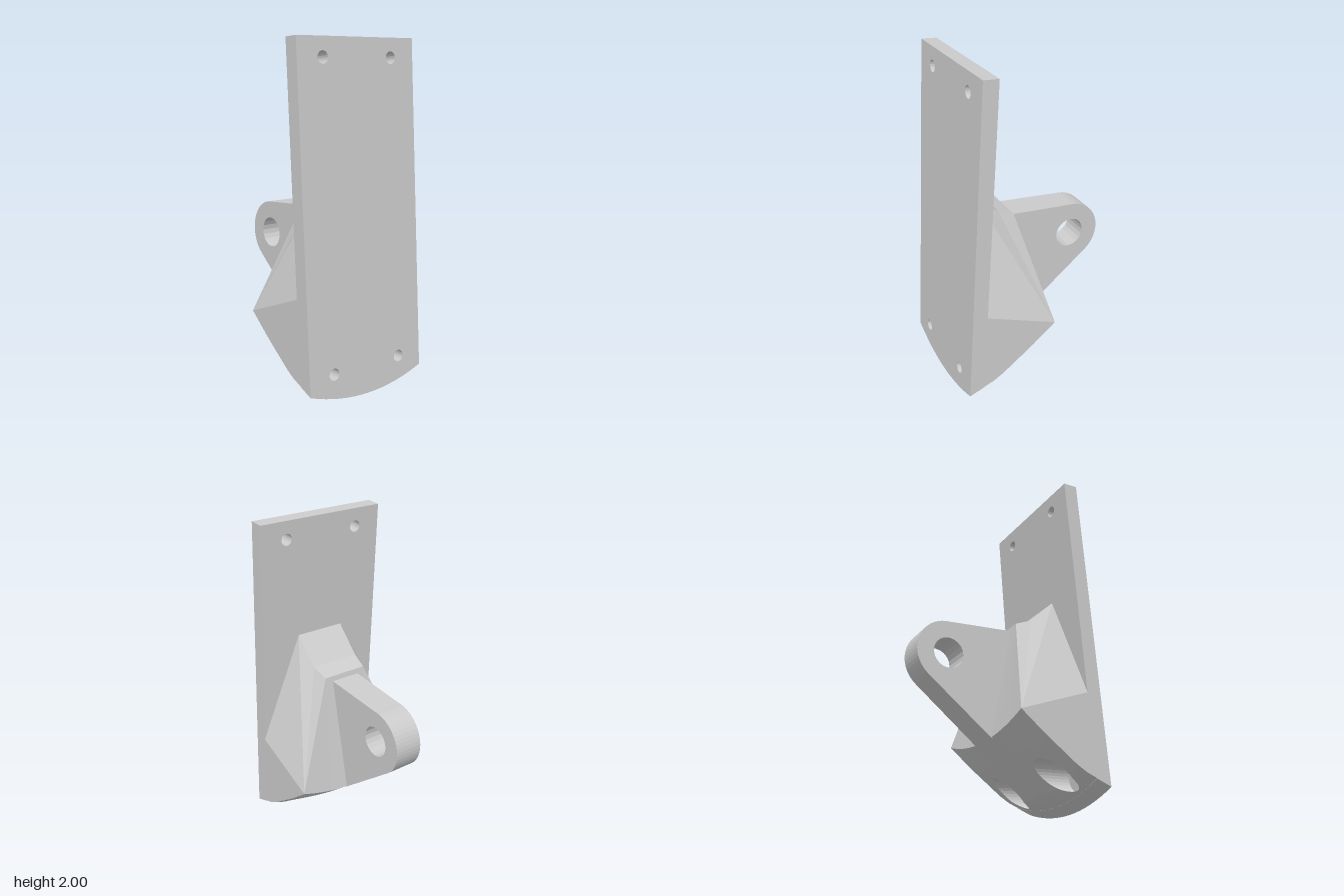
import * as THREE from 'three';

const HALF = 0.41, LEAN = 0.065, THICK = 0.09, BOLT_X = 0.24, SEG = 32;

// Underside: a profile running front to back, bowed across the width
const Z = [0.52, 0.33, 0.09, -0.05], Y = [0, 0.07, 0.24, 0.35];
function interp(from, to, v) {
  const up = from[1] > from[0];
  let i = 0;
  while (i < from.length - 2 && (up ? v > from[i + 1] : v < from[i + 1])) i++;
  return to[i] + (to[i + 1] - to[i]) * (v - from[i]) / (from[i + 1] - from[i]);
}
const bow = x => 0.075 * (x / HALF) ** 2;
const under = (x, z) => [x, interp(Z, Y, z) + bow(x), z];

// Leaning plate space: height y on the front face, depth d behind it
const lean = (x, y, d) => [x, y - LEAN * d, 0.52 - LEAN * y - d];

function circleHole(x, y, r) {
  return new THREE.Path().absarc(x, y, r, 0, Math.PI * 2, true);
}

function plateGeometry() {
  const shape = new THREE.Shape();
  shape.moveTo(HALF, 2);
  shape.lineTo(-HALF, 2);
  for (let i = 0; i <= 16; i++) {
    const x = -HALF + 2 * HALF * i / 16;
    shape.lineTo(x, bow(x));
  }
  for (const x of [-BOLT_X, BOLT_X])
    for (const y of [0.165, 1.89]) shape.holes.push(circleHole(x, y, 0.035));
  const geo = new THREE.ExtrudeGeometry(shape, { depth: THICK, bevelEnabled: false, curveSegments: 10 });
  const p = geo.attributes.position;
  for (let i = 0; i < p.count; i++) {
    const d = THICK - p.getZ(i);
    // the lower rim rises toward the back
    const y = p.getY(i) + (p.getY(i) < 0.1 ? d * 0.44 : 0);
    p.setXYZ(i, ...lean(p.getX(i), y, d));
  }
  geo.computeVertexNormals();
  return geo;
}

// One half of the tapered body, with its counterbore; side is +1 or -1
function bodyHalfGeometry(side) {
  const pos = [];
  const tri = (a, b, c) => {
    for (const v of side > 0 ? [a, b, c] : [a, c, b]) pos.push(v[0] * side, v[1], v[2]);
  };
  const quad = (a, b, c, d) => { tri(a, b, c); tri(a, c, d); };

  // Rings from the counterbore mouth out to the rectangular rim
  const rings = [[], [], [], []], seat = [];
  for (let i = 0; i < SEG; i++) {
    const a = i / SEG * Math.PI * 2, c = Math.cos(a), s = Math.sin(a);
    const hx = BOLT_X + 0.085 * c, y0 = 0.165 + 0.085 * s;
    const guess = interp(Y, Z, y0 - bow(hx));
    const hz = interp(Y, Z, y0 - LEAN * (0.51 - guess) - bow(hx));
    const k = 1 / Math.max(Math.abs(c), Math.abs(s));
    const ox = HALF / 2 * (1 + k * c), oz = 0.195 - 0.245 * k * s;
    rings.forEach((ring, j) => {
      const t = j / (rings.length - 1);
      ring.push(under(hx + (ox - hx) * t, hz + (oz - hz) * t));
    });
    seat.push(lean(hx, y0, THICK));
  }
  const rim = rings[rings.length - 1];
  for (let i = 0; i < SEG; i++) {
    const n = (i + 1) % SEG;
    for (let j = 0; j < rings.length - 1; j++)
      quad(rings[j][n], rings[j + 1][n], rings[j + 1][i], rings[j][i]);
    quad(rings[0][i], seat[i], seat[n], rings[0][n]);
  }

  // Sloping flank, top platform, side wall and back wall
  const corner = under(HALF, -0.05), shoulder = [HALF, 0.6, 0.395];
  const top = [0.155, 1.27, 0.35], mid = [0.155, 1.11, 0.19], rear = [0.14, 1.07, 0.09];
  const centre = v => [0, v[1], v[2]];
  tri(corner, top, shoulder);
  tri(corner, mid, top);
  tri(corner, rear, mid);
  quad(centre(top), top, mid, centre(mid));
  quad(centre(mid), mid, rear, centre(rear));
  for (let i = -4; i < 4; i++) tri(shoulder, rim[(i + SEG) % SEG], rim[(i + 1 + SEG) % SEG]);
  for (let i = 4; i < 12; i++) tri(rear, rim[i], rim[i + 1]);
  tri(rear, rim[12], centre(rear));

  const geo = new THREE.BufferGeometry();
  geo.setAttribute('position', new THREE.Float32BufferAttribute(pos, 3));
  geo.computeVertexNormals();
  return geo;
}

// Rounded lug with a pivot hole, slightly thinner at its tip
function lugGeometry() {
  const shape = new THREE.Shape();
  shape.moveTo(-0.1, 0.3);
  shape.lineTo(0.05, 0.35);
  shape.absarc(0.325, 0.81, 0.195, -0.92, Math.PI / 2, false);
  shape.lineTo(-0.1, 1.04);
  shape.holes.push(circleHole(0.325, 0.81, 0.093));
  const geo = new THREE.ExtrudeGeometry(shape, { depth: 2, bevelEnabled: false, curveSegments: 10 });
  geo.translate(0, 0, -1).rotateY(Math.PI / 2);
  const p = geo.attributes.position;
  for (let i = 0; i < p.count; i++) p.setX(i, p.getX(i) * (0.0915 + 0.01 * p.getZ(i)));
  geo.computeVertexNormals();
  return geo;
}

export function createModel() {
  const group = new THREE.Group();
  group.name = 'mountingBracket';
  const solid = new THREE.MeshStandardMaterial({ color: 0xcccccc, flatShading: true });
  const shell = new THREE.MeshStandardMaterial({ color: 0xcccccc, flatShading: true, side: THREE.DoubleSide });
  const add = (name, geo, mat) => {
    const mesh = new THREE.Mesh(geo, mat);
    mesh.name = name;
    group.add(mesh);
  };
  add('mountingPlate', plateGeometry(), solid);
  add('bodyLeft', bodyHalfGeometry(1), shell);
  add('bodyRight', bodyHalfGeometry(-1), shell);
  add('pivotLug', lugGeometry(), solid);
  return group;
}
